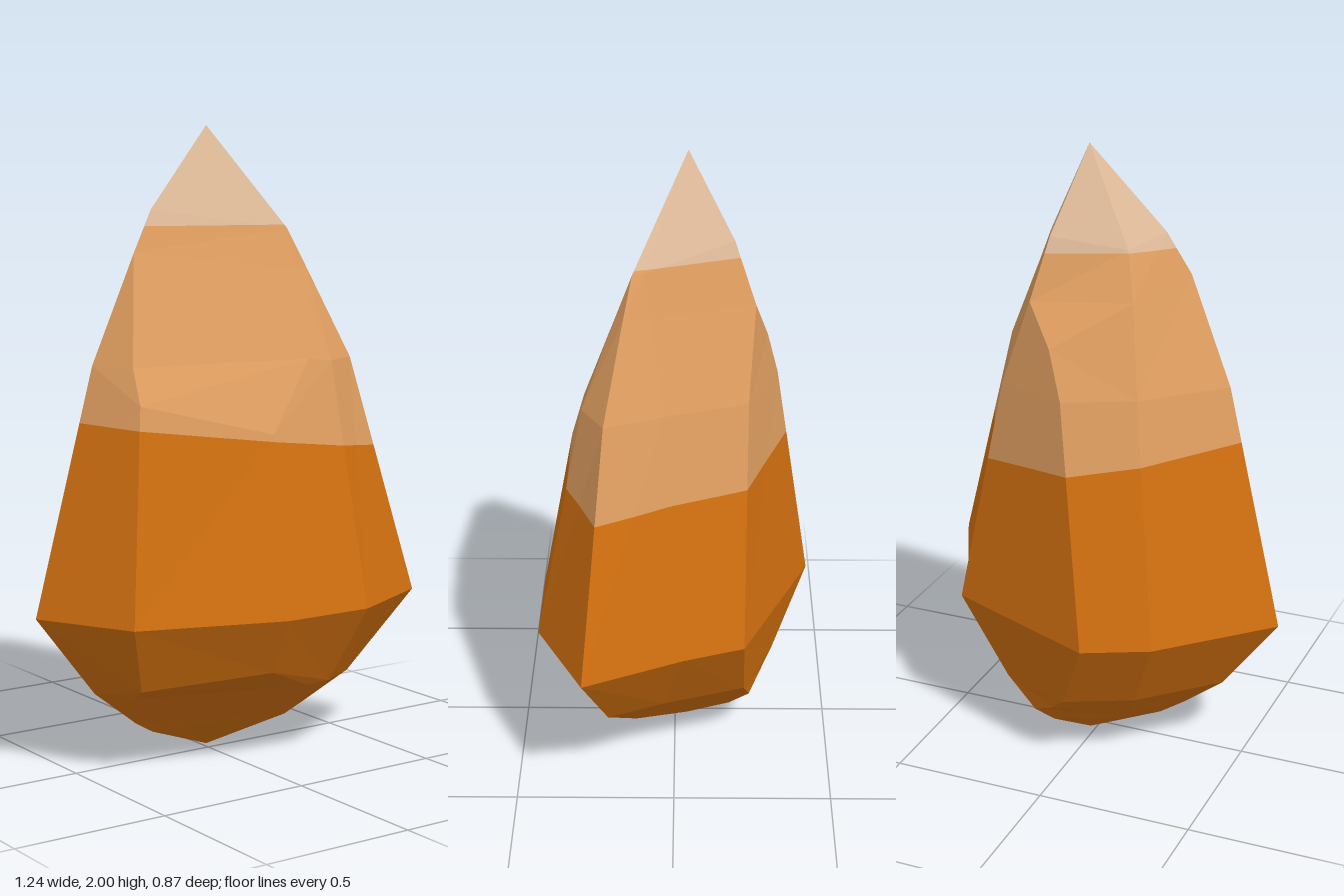
import * as THREE from 'three';

const mat = (name, color) => {
  const m = new THREE.MeshStandardMaterial({ color });
  m.name = name;
  return m;
};
const V = (x, y, z) => new THREE.Vector3(x, y, z);
const WAIST = 0.5;

// Facet ridges, each running from the waist up to the shared tip
function ridges() {
  const tip = V(0.02, 2, -0.04);
  const left = [V(-0.29, 1.61, 0.02), V(-0.215, 1.74, 0)];
  const right = [V(0.22, 1.55, 0.175), V(0.215, 1.68, 0.125)];
  const back = [V(0.13, 1.55, -0.245), V(0.09, 1.74, -0.18)];
  const ridge = (x, z, low, mid, shoulder) =>
    [V(x, WAIST, z), low, mid || low, ...shoulder, tip];
  return [
    ridge(-0.62, -0.03, V(-0.43, 1.27, 0), null, left),
    ridge(-0.46, 0.28, V(-0.375, 1.16, 0.185), V(-0.365, 1.27, 0.13), left),
    ridge(0, 0.43, V(0.02, 1.06, 0.325), V(0.19, 1.28, 0.275), right),
    ridge(0.31, 0.43, V(0.275, 1.27, 0.28), null, right),
    ridge(0.62, 0.28, V(0.405, 1.27, 0.21), null, [V(0.272, 1.557, 0.152), right[1]]),
    ridge(0.47, -0.03, V(0.325, 1.27, 0.03), null, [V(0.24, 1.55, 0.07), V(0.205, 1.68, 0.09)]),
    ridge(0.4, -0.22, V(0.235, 1.27, -0.225), null, back),
    ridge(-0.11, -0.435, V(0, 1.27, -0.32), V(0.05, 1.42, -0.285), back),
    ridge(-0.31, -0.34, V(-0.21, 1.27, -0.22), null, [V(-0.165, 1.55, -0.145), V(-0.13, 1.7, -0.1)]),
  ];
}

// Triangles between neighbouring ridges
function facets(cols) {
  const tris = [];
  const add = (a, b, c) => {
    const area = b.clone().sub(a).cross(c.clone().sub(a)).length();
    if (area > 1e-6) tris.push([a, b, c]);
  };
  cols.forEach((p, i) => {
    const q = cols[(i + 1) % cols.length];
    for (let k = 0; k < p.length - 1; k++) {
      add(p[k], q[k], q[k + 1]);
      add(p[k], q[k + 1], p[k + 1]);
    }
  });
  return tris;
}

// Keep the part of a polygon where height(p) >= 0
function clip(poly, height) {
  const out = [];
  poly.forEach((a, i) => {
    const b = poly[(i + 1) % poly.length];
    const ha = height(a), hb = height(b);
    if (ha >= 0) out.push(a);
    if ((ha > 0 && hb < 0) || (ha < 0 && hb > 0)) out.push(a.clone().lerp(b, ha / (ha - hb)));
  });
  return out;
}

// Flat-faced mesh from convex polygons
function facetMesh(name, polys, material) {
  const pts = [];
  for (const p of polys) {
    for (let i = 1; i < p.length - 1; i++) pts.push(p[0], p[i], p[i + 1]);
  }
  const geo = new THREE.BufferGeometry().setFromPoints(pts);
  geo.computeVertexNormals();
  const mesh = new THREE.Mesh(geo, material);
  mesh.name = name;
  return mesh;
}

export function createModel() {
  const group = new THREE.Group();
  group.name = 'crystal';
  const orange = mat('deep orange', 0xd27010);
  const tan = mat('pale orange', 0xdf9e60);
  const cream = mat('cream', 0xe0bc9a);

  const upper = facets(ridges());
  // Colour bands: the lower one slopes down towards the model's left
  const lowCut = (p) => p.y - (1.04 - 0.12 * p.x);
  const highCut = (p) => p.y - 1.69;
  const band = (...cuts) => upper
    .map((t) => cuts.reduce((poly, cut) => clip(poly, cut), t))
    .filter((p) => p.length > 2);

  group.add(facetMesh('lowerBody', band((p) => -lowCut(p)), orange));
  group.add(facetMesh('middleBand', band(lowCut, (p) => -highCut(p)), tan));
  group.add(facetMesh('tip', band(highCut), cream));

  // Base: the upper body mirrored at the waist and squashed to a third
  const flip = (p) => V(p.x, WAIST - (p.y - WAIST) / 3, p.z);
  const lower = upper.map(([a, b, c]) => [flip(a), flip(c), flip(b)]);
  group.add(facetMesh('base', lower, orange));
  return group;
}
